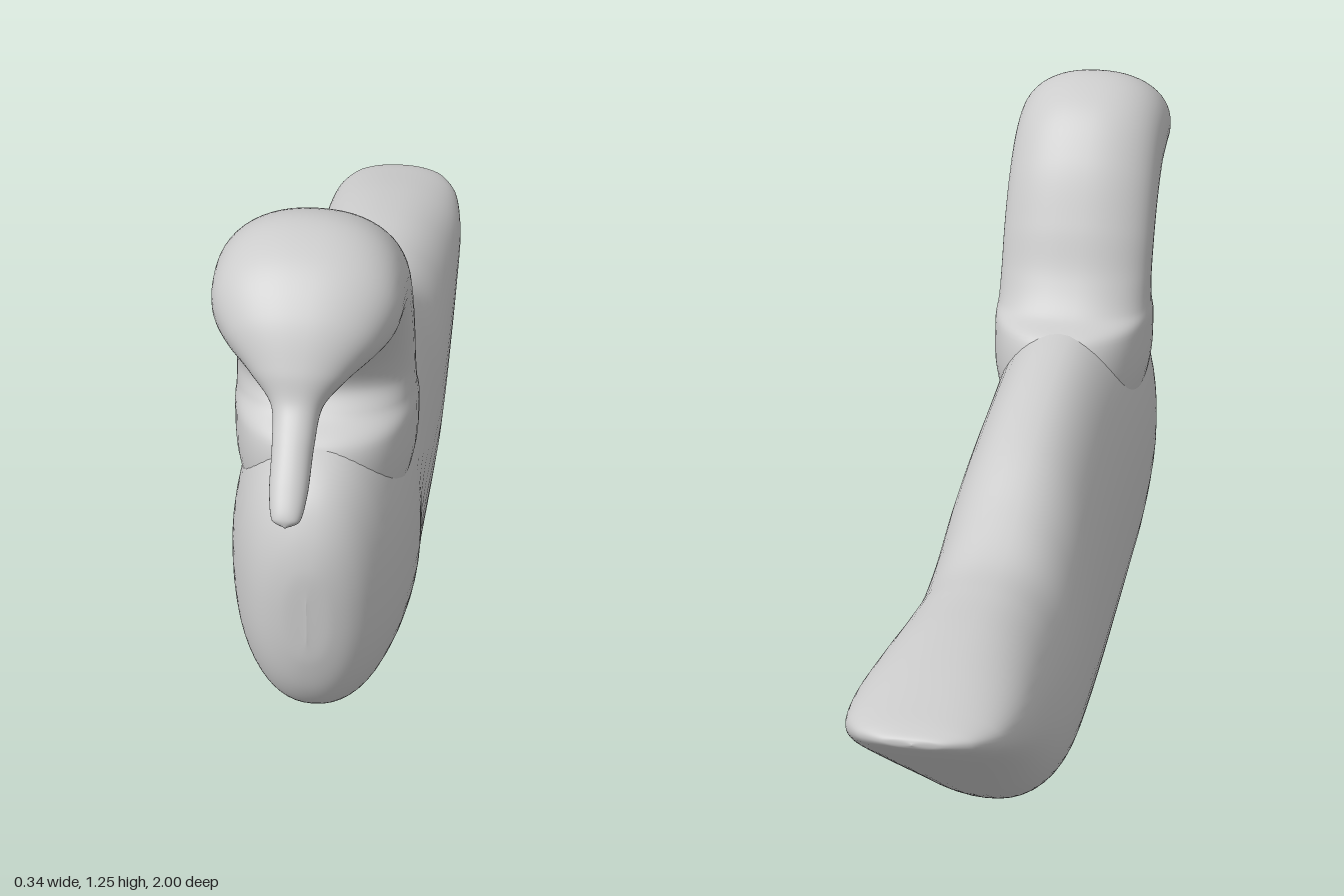
import * as THREE from 'three';

// Section: [z, y of upper edge, z, y of lower edge, half width]
const BODY = [
  [0.76, 0.55, 0.76, 0.47, 0],
  [0.755, 0.62, 0.755, 0.41, 0.045],
  [0.735, 0.685, 0.735, 0.335, 0.085],
  [0.70, 0.74, 0.70, 0.28, 0.115],
  [0.64, 0.782, 0.64, 0.236, 0.143],
  [0.55, 0.805, 0.55, 0.205, 0.163],
  [0.42, 0.81, 0.42, 0.15, 0.17],
  [0.30, 0.795, 0.30, 0.092, 0.165],
  [0.18, 0.778, 0.18, 0.048, 0.161],
  [0.02, 0.742, 0.02, 0.015, 0.16],
  [-0.13, 0.69, -0.13, 0.003, 0.16],
  [-0.27, 0.613, -0.26, 0.017, 0.16],
  [-0.39, 0.565, -0.40, 0.07, 0.16],
  [-0.52, 0.559, -0.52, 0.14, 0.16],
  [-0.66, 0.557, -0.66, 0.237, 0.16],
  [-0.80, 0.545, -0.80, 0.337, 0.157],
  [-0.91, 0.528, -0.91, 0.418, 0.138],
  [-0.97, 0.516, -0.97, 0.465, 0.10],
  [-0.995, 0.506, -0.995, 0.487, 0.05],
  [-1.0, 0.498, -1.0, 0.496, 0],
];

// Runs from the bill tip over the head and down into the body
const HEAD = [
  [1.0, 0.887, 0.998, 0.884, 0],
  [1.0, 0.902, 0.978, 0.882, 0.022],
  [0.97, 0.942, 0.935, 0.905, 0.031],
  [0.92, 0.992, 0.865, 0.953, 0.034],
  [0.875, 1.035, 0.805, 0.995, 0.042],
  [0.855, 1.088, 0.773, 1.018, 0.077],
  [0.813, 1.165, 0.748, 1.029, 0.123],
  [0.74, 1.23, 0.722, 1.026, 0.153],
  [0.64, 1.254, 0.685, 1.014, 0.16],
  [0.53, 1.21, 0.645, 0.99, 0.16],
  [0.45, 1.112, 0.597, 0.948, 0.16],
  [0.392, 0.985, 0.56, 0.90, 0.16],
  [0.352, 0.88, 0.549, 0.86, 0.16],
  [0.305, 0.812, 0.575, 0.825, 0.162],
  [0.24, 0.772, 0.63, 0.782, 0.165],
  [0.22, 0.66, 0.64, 0.68, 0.158],
  [0.26, 0.50, 0.60, 0.50, 0.11],
];

// Skin a smooth surface through oval sections
function loft(name, sections, material, rings = 140, sides = 56) {
  const upper = new THREE.CatmullRomCurve3(sections.map(s => new THREE.Vector3(0, s[1], s[0])));
  const lower = new THREE.CatmullRomCurve3(sections.map(s => new THREE.Vector3(0, s[3], s[2])));
  const width = new THREE.SplineCurve(sections.map((s, i) => new THREE.Vector2(i, s[4])));
  const round = v => Math.sign(v) * Math.pow(Math.abs(v), 0.9);
  const positions = [], index = [];
  for (let i = 0; i <= rings; i++) {
    const t = i / rings;
    const a = upper.getPoint(t), b = lower.getPoint(t);
    const w = Math.max(0, width.getPoint(t).y);
    for (let j = 0; j < sides; j++) {
      const angle = (j / sides) * Math.PI * 2;
      const k = (1 + round(Math.sin(angle))) / 2;
      positions.push(w * round(Math.cos(angle)), b.y + (a.y - b.y) * k, b.z + (a.z - b.z) * k);
      if (i === rings) continue;
      const p = i * sides + j, q = i * sides + (j + 1) % sides;
      index.push(p, p + sides, q, q, p + sides, q + sides);
    }
  }
  const geometry = new THREE.BufferGeometry();
  geometry.setAttribute('position', new THREE.Float32BufferAttribute(positions, 3));
  geometry.setIndex(index);
  geometry.computeVertexNormals();
  const mesh = new THREE.Mesh(geometry, material);
  mesh.name = name;
  return mesh;
}

export function createModel() {
  const group = new THREE.Group();
  group.name = 'duck';
  const material = new THREE.MeshStandardMaterial({ color: 0xcccccc, side: THREE.DoubleSide });
  group.add(loft('bodyAndTail', BODY, material));
  group.add(loft('neckHeadAndBill', HEAD, material));
  return group;
}
